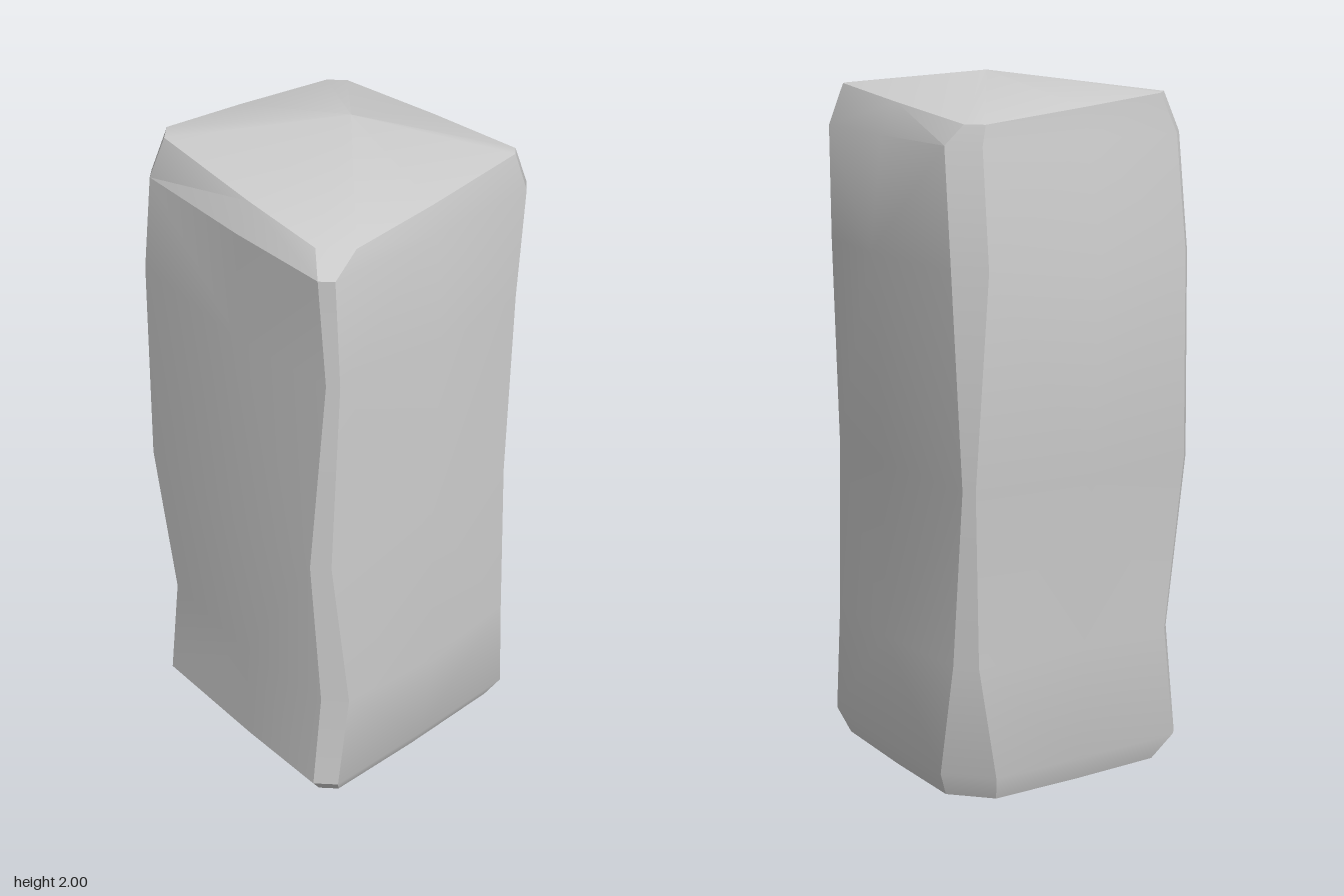
import * as THREE from 'three';
import { toCreasedNormals } from 'three/addons/utils/BufferGeometryUtils.js';

// Cross-sections from bottom to top:
// y, side extents (left, right, back, front), bulge of the face centres,
// corner bevels (front +x, back +x, back -x, front -x)
const RINGS = [
  [0.06, -0.33, 0.335, -0.32, 0.35, 0.005, 0.02, 0.10, 0.03, 0.04],
  [0.13, -0.375, 0.36, -0.345, 0.387, 0.005, 0.02, 0.11, 0.02, 0.05],
  [0.45, -0.375, 0.37, -0.355, 0.424, 0.03, 0.035, 0.05, 0.02, 0.055],
  [0.95, -0.405, 0.37, -0.385, 0.402, 0.025, 0.045, 0.025, 0.025, 0.04],
  [1.53, -0.372, 0.398, -0.422, 0.414, 0.03, 0.07, 0.07, 0.02, 0.025],
  [1.84, -0.365, 0.36, -0.345, 0.385, 0.008, 0.03, 0.07, 0.03, 0.03],
  [1.92, -0.322, 0.313, -0.335, 0.368, 0.005, 0.02, 0.04, 0.04, 0.07],
];

// Twelve points: a bulged centre per face and two bevel points per corner
function ringPoints([y, l, r, b, f, e, fr, br, bl, fl], isRim) {
  const L = l + e, R = r - e, B = b + e, F = f - e;
  const points = [
    [0, f], [R - fr, F], [R, F - fr],
    [r, 0.04], [R, B + br], [R - br, B],
    [-0.03, b], [L + bl, B], [L, B + bl],
    [l, 0.05], [L, F - fl], [L + fl, F],
  ];
  // The upper rim twists: two opposite corners rise, the others drop
  return points.map(([x, z]) => [x, y + (isRim ? 0.3 * x * z : 0), z]);
}

function stoneGeometry() {
  const n = 12;
  const rings = RINGS.map((ring, i) => ringPoints(ring, i === RINGS.length - 1));
  const vertices = [...rings.flat(), [-0.04, 0.005, 0.01], [0.055, 2, 0.005]];
  const bottom = vertices.length - 2, top = vertices.length - 1;
  const lastRing = (rings.length - 1) * n;
  const index = [];
  for (let j = 0; j < n; j++) {
    const k = (j + 1) % n;
    for (let i = 0; i < rings.length - 1; i++) {
      const a = i * n + j, b = i * n + k, c = b + n, d = a + n;
      // Alternate diagonals for an irregular chiselled look
      if ((i + j) % 2) index.push(a, b, c, a, c, d);
      else index.push(a, b, d, b, c, d);
    }
    index.push(bottom, k, j, top, lastRing + j, lastRing + k);
  }
  const geometry = new THREE.BufferGeometry();
  geometry.setAttribute('position', new THREE.Float32BufferAttribute(vertices.flat(), 3));
  geometry.setIndex(index);
  return toCreasedNormals(geometry, THREE.MathUtils.degToRad(28));
}

export function createModel() {
  const group = new THREE.Group();
  group.name = 'rockPillar';
  const stone = new THREE.Mesh(stoneGeometry(), new THREE.MeshStandardMaterial({ color: 0xcccccc }));
  stone.name = 'stone';
  group.add(stone);
  return group;
}
